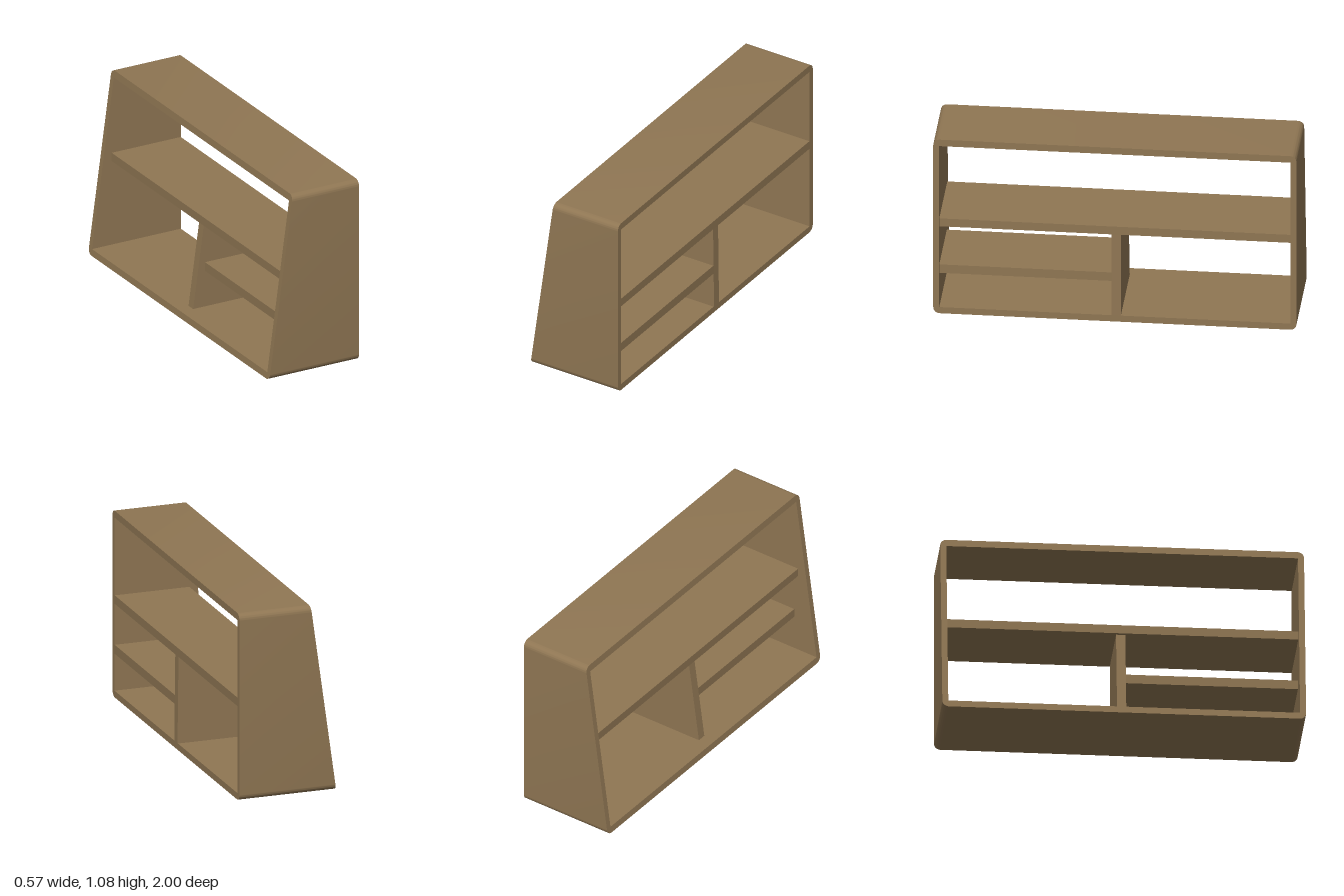
import * as THREE from 'three';
import { toCreasedNormals } from 'three/addons/utils/BufferGeometryUtils.js';

const SLOPE = 0.148 / 1.075; // lean of the sloping open side

export function createModel() {
  const group = new THREE.Group();
  const wood = new THREE.MeshStandardMaterial({ color: 0x8f7653 });
  wood.name = 'brown wood';

  const add = (name, geometry) => {
    const mesh = new THREE.Mesh(geometry, wood);
    mesh.name = name;
    group.add(mesh);
  };

  // Outer frame: rounded rectangle with a square-cornered opening
  const hz = 1, top = 1.075, r = 0.036;
  const outline = new THREE.Shape();
  outline.moveTo(-hz + r, 0);
  outline.lineTo(hz - r, 0);
  outline.absarc(hz - r, r, r, -Math.PI / 2, 0);
  outline.lineTo(hz, top - r);
  outline.absarc(hz - r, top - r, r, 0, Math.PI / 2);
  outline.lineTo(-hz + r, top);
  outline.absarc(-hz + r, top - r, r, Math.PI / 2, Math.PI);
  outline.lineTo(-hz, r);
  outline.absarc(-hz + r, r, r, Math.PI, Math.PI * 1.5);
  const inner = 0.967, low = 0.038, high = 1.035;
  outline.holes.push(new THREE.Path([
    new THREE.Vector2(-inner, low), new THREE.Vector2(-inner, high),
    new THREE.Vector2(inner, high), new THREE.Vector2(inner, low),
  ]));
  const frame = new THREE.ExtrudeGeometry(outline, { depth: 1, bevelEnabled: false, curveSegments: 8 });
  frame.rotateY(Math.PI / 2);
  const p = frame.attributes.position;
  for (let i = 0; i < p.count; i++) {
    p.setX(i, p.getX(i) > 0.5 ? 0.281 : -0.285 + SLOPE * p.getY(i));
  }
  frame.computeVertexNormals();
  add('frame', toCreasedNormals(frame, 0.5));

  // Boards between the frame walls
  const board = (x0, x1, y0, y1, z0, z1) => new THREE.BoxGeometry(x1 - x0, y1 - y0, z1 - z0)
    .translate((x0 + x1) / 2, (y0 + y1) / 2, (z0 + z1) / 2);
  add('longShelf', board(-0.156, 0.28, 0.538, 0.587, -inner, inner));
  add('shortShelf', board(-0.13, 0.28, 0.25, 0.302, 0.018, inner));

  // Upright divider: one edge follows the slope, the other leans slightly
  const divider = board(-0.205, 0.284, low, 0.538, -0.033, 0.018);
  const d = divider.attributes.position;
  for (let i = 0; i < d.count; i++) {
    const rise = d.getY(i) - low;
    d.setX(i, d.getX(i) + rise * (d.getX(i) < 0 ? SLOPE : -0.012));
  }
  divider.computeVertexNormals();
  add('divider', divider);

  return group;
}
